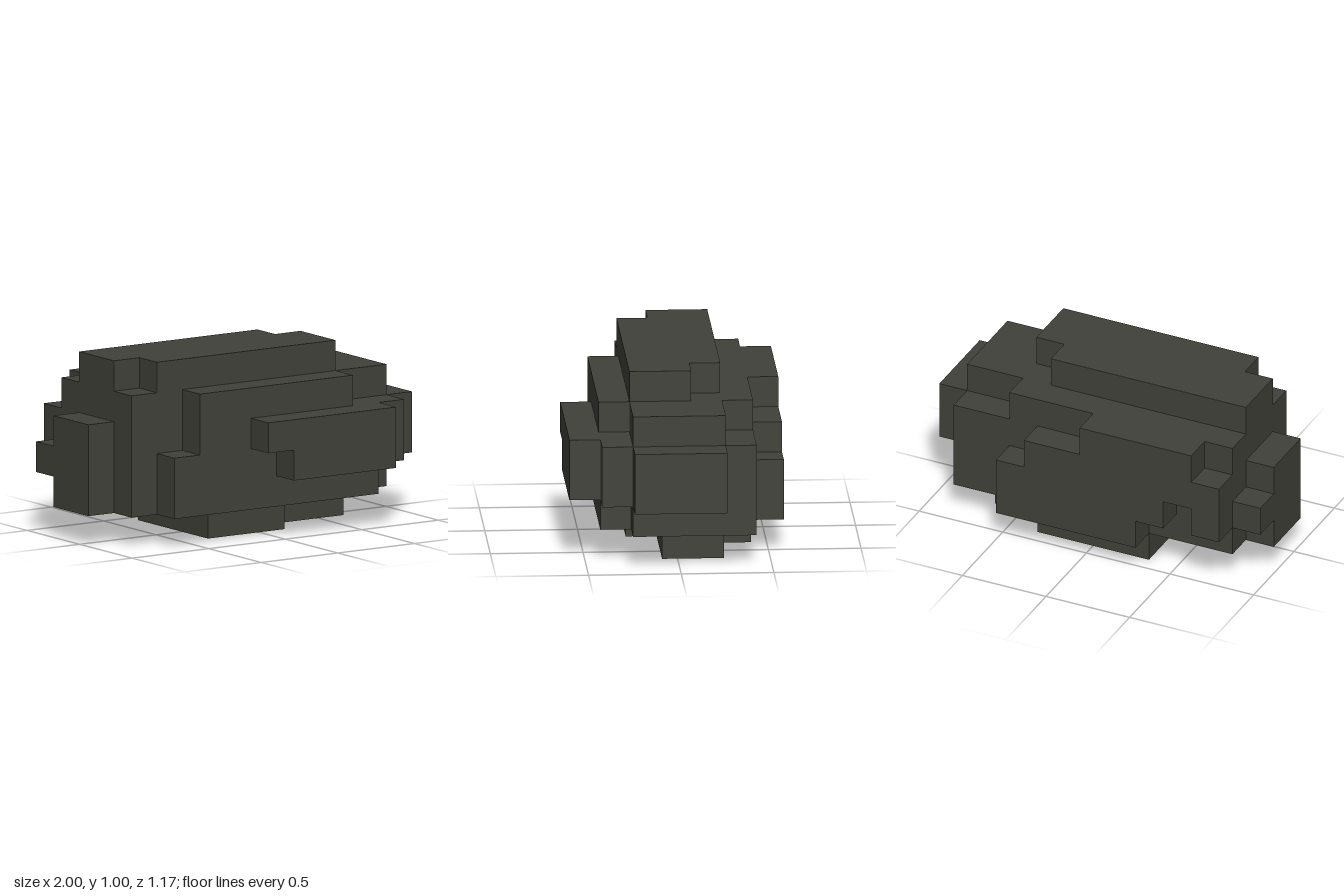
import * as THREE from 'three';

// Blocky boulder on a grid of cubes, 12 wide, 6 high, 7 deep
const CELL = 1 / 6;
const SIZE = [12, 6, 7];

// Slices from back to front; each row is [level, first column, last column]
const SLICES = [
  [[1, 4, 8], [2, 1, 1], [2, 3, 8], [3, 1, 7], [4, 2, 5]],
  [[0, 4, 7], [1, 1, 10], [2, 0, 10], [3, 1, 10], [4, 1, 8]],
  [[0, 4, 9], [1, 0, 10], [2, 0, 11], [3, 0, 11], [4, 1, 10], [5, 1, 7]],
  [[0, 4, 9], [1, 0, 10], [2, 0, 11], [3, 0, 11], [4, 1, 10], [5, 1, 8]],
  [[0, 4, 6], [1, 1, 10], [2, 1, 11], [3, 1, 11], [4, 1, 10], [5, 2, 8]],
  [[1, 2, 9], [2, 2, 10], [3, 3, 10], [4, 3, 8]],
  [[2, 6, 9], [3, 5, 9]],
];

const filled = (x, y, z) =>
  (SLICES[z] || []).some(([level, a, b]) => level === y && x >= a && x <= b);

// Keeps only the cube faces that touch open air
function boulderGeometry() {
  const positions = [], normals = [], index = [];
  const addFace = (cell, axis, sign) => {
    const u = (axis + 1) % 3, v = (axis + 2) % 3;
    const start = positions.length / 3;
    for (const [a, b] of [[0, 0], [1, 0], [1, 1], [0, 1]]) {
      const p = [...cell];
      p[axis] += sign > 0 ? 1 : 0;
      p[u] += a;
      p[v] += b;
      positions.push((p[0] - SIZE[0] / 2) * CELL, p[1] * CELL, (p[2] - SIZE[2] / 2) * CELL);
      const n = [0, 0, 0];
      n[axis] = sign;
      normals.push(...n);
    }
    const order = sign > 0 ? [0, 1, 2, 0, 2, 3] : [0, 2, 1, 0, 3, 2];
    index.push(...order.map((i) => start + i));
  };

  SLICES.forEach((rows, z) => {
    for (const [y, first, last] of rows) {
      for (let x = first; x <= last; x++) {
        for (let axis = 0; axis < 3; axis++) {
          for (const sign of [-1, 1]) {
            const next = [x, y, z];
            next[axis] += sign;
            if (!filled(...next)) addFace([x, y, z], axis, sign);
          }
        }
      }
    }
  });

  const geometry = new THREE.BufferGeometry();
  geometry.setAttribute('position', new THREE.Float32BufferAttribute(positions, 3));
  geometry.setAttribute('normal', new THREE.Float32BufferAttribute(normals, 3));
  geometry.setIndex(index);
  return geometry;
}

export function createModel() {
  const model = new THREE.Group();
  model.name = 'boulder';
  const stone = new THREE.MeshStandardMaterial({ color: 0x41413a });
  stone.name = 'dark stone';
  const rock = new THREE.Mesh(boulderGeometry(), stone);
  rock.name = 'rock';
  model.add(rock);
  return model;
}
